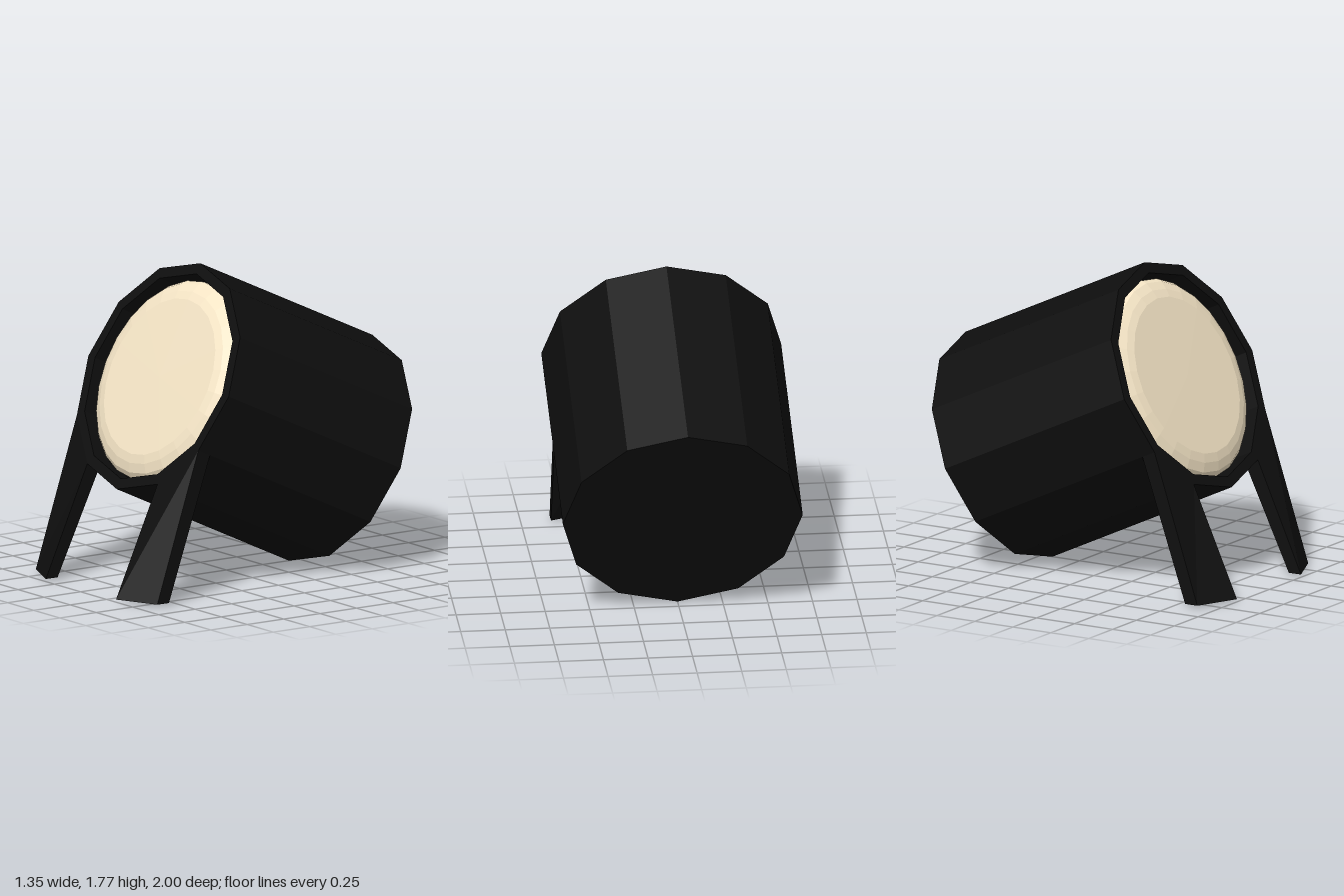
import * as THREE from 'three';

const TILT = Math.atan2(0.555, 1.18);
const RADIUS = 0.673, LENGTH = 1.304;

// Low-poly solid of revolution along +z, first profile point at the back
function turned(name, profile, sides, material) {
  const points = profile.map(([r, d]) => new THREE.Vector2(r, d));
  const geometry = new THREE.LatheGeometry(points, sides).rotateX(Math.PI / 2);
  const mesh = new THREE.Mesh(geometry, material);
  mesh.name = name;
  return mesh;
}

// Leg drawn out from one facet of the rim to the ground; side is +1 or -1
function makeLeg(side, material) {
  const thick = 0.088, foot = 0.015;
  const geometry = new THREE.BoxGeometry(1, 1, 1);
  const p = geometry.attributes.position;
  for (let i = 0; i < p.count; i++) {
    const outer = p.getX(i) * side > 0, top = p.getY(i) > 0, back = p.getZ(i) < 0;
    const angle = outer ? Math.PI / 3 : Math.PI / 6;
    const drop = RADIUS * Math.cos(angle);
    const depth = back ? thick : 0;
    const x = side * RADIUS * Math.sin(angle);
    if (top) {
      p.setXYZ(i, x,
        1.165 - drop * Math.cos(TILT) - depth * Math.sin(TILT),
        0.465 + drop * Math.sin(TILT) - depth * Math.cos(TILT));
    } else {
      p.setXYZ(i, x, foot, (outer ? 0.89 : 0.997) - (back ? 0.08 : 0));
    }
  }
  geometry.computeVertexNormals();
  const mesh = new THREE.Mesh(geometry, material);
  mesh.name = side > 0 ? 'leftLeg' : 'rightLeg';
  return mesh;
}

export function createModel() {
  const model = new THREE.Group();
  const black = new THREE.MeshStandardMaterial({ color: 0x0e0e0e, flatShading: true });
  const cream = new THREE.MeshStandardMaterial({ color: 0xf5e5c6, flatShading: true });

  // Tilted barrel and the lens sunk into its rim
  const head = new THREE.Group();
  head.name = 'lampHead';
  head.position.set(0, 1.165, 0.465);
  head.rotation.x = -TILT;
  head.add(turned('housing', [
    [0, -LENGTH], [RADIUS, -LENGTH], [RADIUS, 0], [0.61, 0], [0.61, -0.12], [0, -0.12],
  ], 12, black));
  head.add(turned('lens', [
    [0.585, -0.12], [0.585, -0.07], [0.56, -0.042], [0.51, -0.02], [0.46, -0.008], [0, -0.004],
  ], 24, cream));
  model.add(head);

  // Pair of front legs
  for (const side of [1, -1]) model.add(makeLeg(side, black));
  return model;
}
